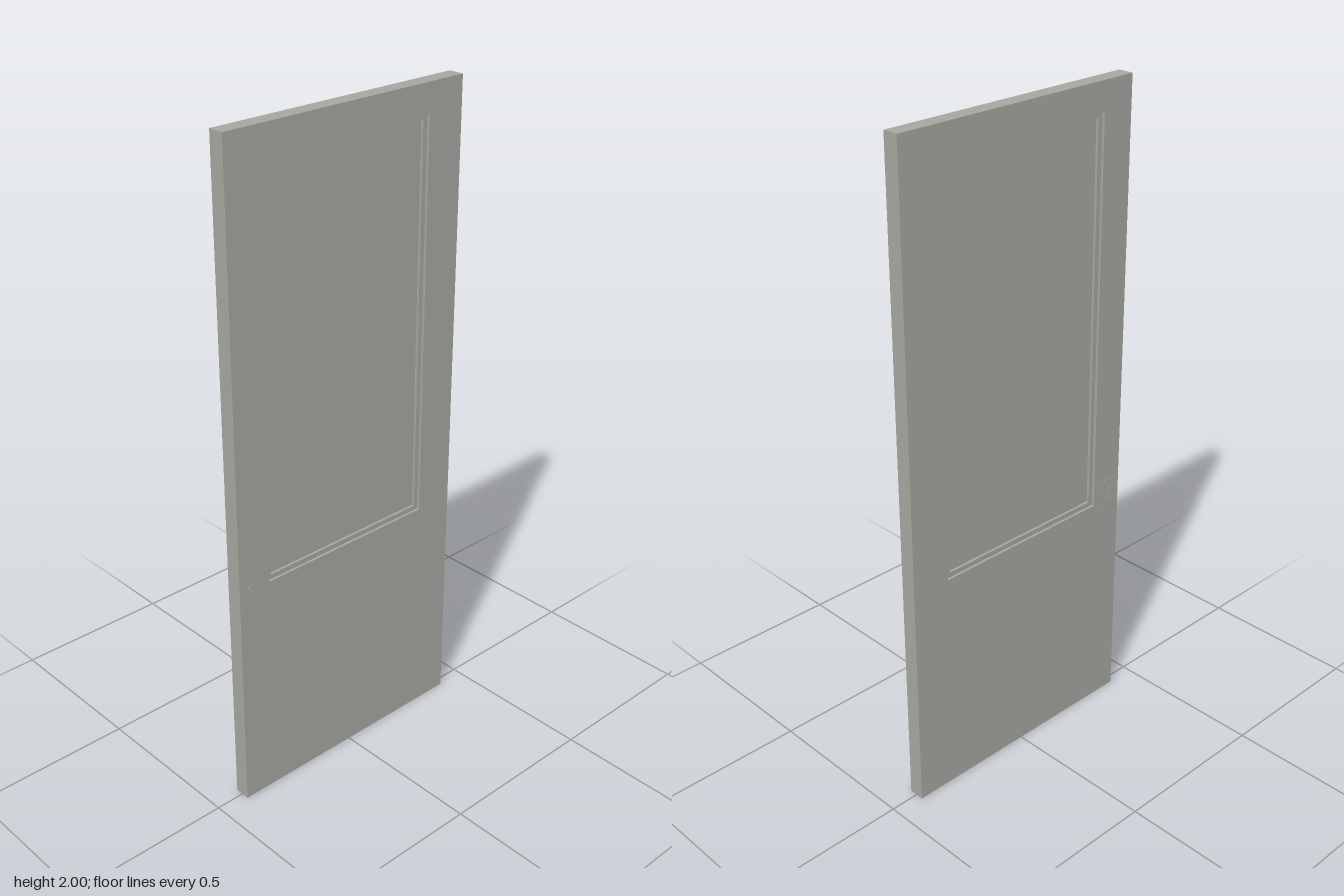
import * as THREE from 'three';

// Shapes are drawn with u = -z and v = y, then extruded along x.
function rectPath(Type, u0, u1, v0, v1) {
  const p = new Type();
  p.moveTo(u0, v0);
  p.lineTo(u1, v0);
  p.lineTo(u1, v1);
  p.lineTo(u0, v1);
  p.closePath();
  return p;
}

// Extrudes a shape so that it is centred on x = 0 with the given half thickness
function slab(shape, half) {
  const geo = new THREE.ExtrudeGeometry(shape, { depth: half * 2, bevelEnabled: false, curveSegments: 8 });
  geo.translate(0, 0, -half);
  geo.rotateY(Math.PI / 2);
  return geo;
}

export function createModel() {
  const door = new THREE.Group();
  door.name = 'door';
  const paint = new THREE.MeshStandardMaterial({ color: 0xa6a6a0 });
  paint.name = 'greyPaint';

  const add = (name, geo) => {
    const mesh = new THREE.Mesh(geo, paint);
    mesh.name = name;
    door.add(mesh);
    return mesh;
  };

  const opening = [-0.305, 0.287, 0.71, 1.915];
  const inset = (r, d) => [r[0] + d, r[1] - d, r[2] + d, r[3] - d];
  const inner = inset(opening, 0.015);

  // Door leaf with a large upper opening
  const leaf = rectPath(THREE.Shape, -0.41, 0.41, 0, 2);
  leaf.holes.push(rectPath(THREE.Path, ...opening));
  add('doorLeaf', slab(leaf, 0.024));

  // Stepped moulding around the opening, then the recessed panel
  const moulding = rectPath(THREE.Shape, ...opening);
  moulding.holes.push(rectPath(THREE.Path, ...inner));
  add('panelMoulding', slab(moulding, 0.016));
  add('recessedPanel', slab(rectPath(THREE.Shape, ...inner), 0.008));

  // Lock plate: square at the door edge, rounded towards the panel
  const r = 0.01, u0 = -0.4, u1 = -0.345, v0 = 0.64, v1 = 0.78;
  const plate = new THREE.Shape();
  plate.moveTo(u0, v0);
  plate.lineTo(u1 - r, v0);
  plate.absarc(u1 - r, v0 + r, r, -Math.PI / 2, 0);
  plate.lineTo(u1, v1 - r);
  plate.absarc(u1 - r, v1 - r, r, 0, Math.PI / 2);
  plate.lineTo(u0, v1);
  plate.closePath();
  add('lockPlate', slab(plate, 0.0248));

  // Key ring and thumb turn, showing on both faces
  const ring = new THREE.Shape();
  ring.absarc(-0.372, 0.715, 0.012, 0, Math.PI * 2);
  const hole = new THREE.Path();
  hole.absarc(-0.372, 0.715, 0.006, 0, Math.PI * 2, true);
  ring.holes.push(hole);
  add('keyRing', slab(ring, 0.0262));
  add('thumbTurnStem', slab(rectPath(THREE.Shape, -0.375, -0.369, 0.735, 0.757), 0.0262));
  add('thumbTurnBar', slab(rectPath(THREE.Shape, -0.369, -0.36, 0.742, 0.749), 0.0262));

  return door;
}
